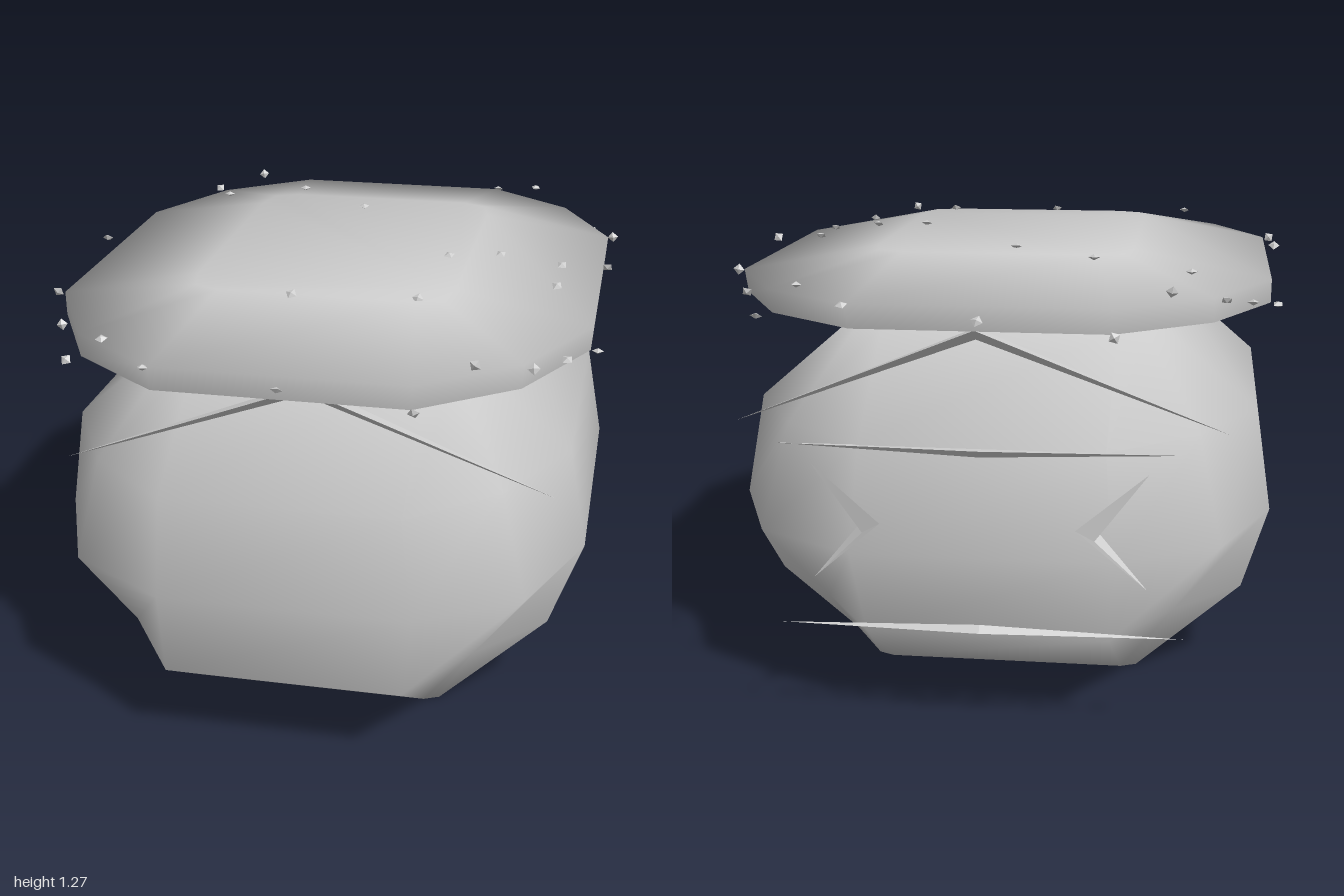
import * as THREE from 'three';

const smooth = new THREE.MeshStandardMaterial({ color: 0xcccccc, side: THREE.DoubleSide });
const faceted = new THREE.MeshStandardMaterial({ color: 0xcccccc, flatShading: true, side: THREE.DoubleSide });

// Twelve-sided rounded rectangle within +-1: flat is the half length of the straight sides,
// corner is how far the corner point reaches out.
function outline(flat, corner) {
  const quarter = [[1, flat], [corner, corner], [flat, 1]];
  const half = [...quarter, ...quarter.map(([x, z]) => [-x, z]).reverse()];
  return [...half, ...half.map(([x, z]) => [-x, -z])];
}

// Closed loft through rings of [y, xMin, xMax, zMin, zMax, flat, corner], shaded like a soft cushion.
function loft(name, rings) {
  const pos = [], index = [], n = 12;
  for (const [y, x0, x1, z0, z1, flat, corner] of rings) {
    for (const [x, z] of outline(flat, corner)) {
      pos.push((x0 + x1) / 2 + x * (x1 - x0) / 2, y, (z0 + z1) / 2 + z * (z1 - z0) / 2);
    }
  }
  for (let r = 0; r < rings.length - 1; r++) {
    for (let i = 0; i < n; i++) {
      const a = r * n + i, b = r * n + (i + 1) % n;
      index.push(a, a + n, b, b, a + n, b + n);
    }
  }
  const top = (rings.length - 1) * n;
  for (let i = 1; i < n - 1; i++) {
    index.push(0, i, i + 1, top, top + i + 1, top + i);
  }
  const geo = new THREE.BufferGeometry();
  geo.setAttribute('position', new THREE.Float32BufferAttribute(pos, 3));
  geo.setIndex(index);

  // Normals lean outwards with the square of the distance from the middle
  geo.computeBoundingBox();
  const centre = geo.boundingBox.getCenter(new THREE.Vector3());
  const halfSize = geo.boundingBox.getSize(new THREE.Vector3()).multiplyScalar(0.5);
  const v = new THREE.Vector3(), normals = [];
  for (let i = 0; i < pos.length; i += 3) {
    v.fromArray(pos, i).sub(centre).divide(halfSize);
    v.set(v.x * Math.abs(v.x), v.y * Math.abs(v.y), v.z * Math.abs(v.z)).normalize();
    normals.push(v.x, v.y, v.z);
  }
  geo.setAttribute('normal', new THREE.Float32BufferAttribute(normals, 3));
  const mesh = new THREE.Mesh(geo, smooth);
  mesh.name = name;
  return mesh;
}

// Thin bent strip: pointed at both ends, with a small triangular section in the middle.
function sliver(name, endA, endB, middle) {
  const geo = new THREE.BufferGeometry();
  geo.setAttribute('position', new THREE.Float32BufferAttribute([endA, endB, ...middle].flat(), 3));
  geo.setIndex([0, 2, 3, 0, 3, 4, 0, 4, 2, 1, 3, 2, 1, 4, 3, 1, 2, 4]);
  geo.computeVertexNormals();
  const mesh = new THREE.Mesh(geo, faceted);
  mesh.name = name;
  return mesh;
}

export function createModel() {
  const model = new THREE.Group();
  model.name = 'roundedPot';

  // Swollen body
  model.add(loft('body', [
    [0, -0.42, 0.4, -0.48, 0.57, 0.85, 0.96],
    [0.25, -0.71, 0.69, -0.89, 0.94, 0.48, 0.72],
    [0.5, -0.785, 0.785, -0.965, 0.965, 0.45, 0.82],
    [0.8, -0.74, 0.73, -0.95, 0.96, 0.45, 0.78],
    [1.05, -0.45, 0.44, -0.59, 0.57, 0.75, 0.92],
  ]));

  // Flat cushion-like lid
  model.add(loft('lid', [
    [1.05, -0.42, 0.42, -0.46, 0.46, 0.75, 0.92],
    [1.11, -0.765, 0.765, -0.93, 0.95, 0.45, 0.79],
    [1.18, -0.765, 0.77, -0.96, 0.965, 0.45, 0.79],
    [1.25, -0.37, 0.38, -0.5, 0.53, 0.75, 0.94],
  ]));

  // Chevron strips under the lid, front and back
  for (const s of [1, -1]) {
    model.add(sliver(s > 0 ? 'frontChevron' : 'backChevron',
      [-0.66, 0.81, 0.77 * s], [0.71, 0.81, 0.77 * s],
      [[0.03, 1.09, 0.82 * s], [0.03, 1.09, 0.775 * s], [0.03, 1.06, 0.79 * s]]));
  }

  // Strips framing the back
  for (const [y, dy] of [[0.8, -0.02], [0.29, 0.02]]) {
    model.add(sliver('backCrossStrip', [-0.55, y, -0.95], [0.55, y, -0.95],
      [[0, y, -0.975], [0, y + dy, -0.96], [0, y, -0.93]]));
  }
  for (const s of [1, -1]) {
    model.add(sliver('backSideStrip', [0.45 * s, 0.75, -0.965], [0.45 * s, 0.43, -0.965],
      [[0.26 * s, 0.6, -1], [0.31 * s, 0.6, -0.97], [0.31 * s, 0.57, -0.99]]));
  }

  // Small seeds on the lid and around its rim
  const seeds = new THREE.Group();
  seeds.name = 'seeds';
  const seedGeo = new THREE.OctahedronGeometry(0.017);
  const addSeed = (x, y, z, turn) => {
    const seed = new THREE.Mesh(seedGeo, faceted);
    seed.name = 'seed';
    seed.position.set(x, y, z);
    seed.scale.set(1, 0.5, 1);
    seed.rotation.set(turn, turn * 1.7, 0);
    seeds.add(seed);
  };
  const topSeeds = [[-0.54, -0.57], [-0.27, -0.57], [-0.03, -0.38], [0.32, 0.1], [0.47, 0.06],
    [0.65, 0.02], [0.65, 0.22], [-0.06, 0.54], [0.29, 0.51]];
  topSeeds.forEach(([x, z], i) => addSeed(x, Math.abs(x) > 0.5 ? 1.22 : 1.255, z, i * 0.1));
  const rim = outline(0.45, 0.81);
  rim.forEach(([x, z], i) => {
    const [nx, nz] = rim[(i + 1) % rim.length];
    for (const t of [0, 0.5]) {
      addSeed((x + (nx - x) * t) * 0.785, 1.11 + 0.035 * ((i * 2 + t * 2) % 4),
        (z + (nz - z) * t) * 0.97, i + t);
    }
  });
  model.add(seeds);
  return model;
}
